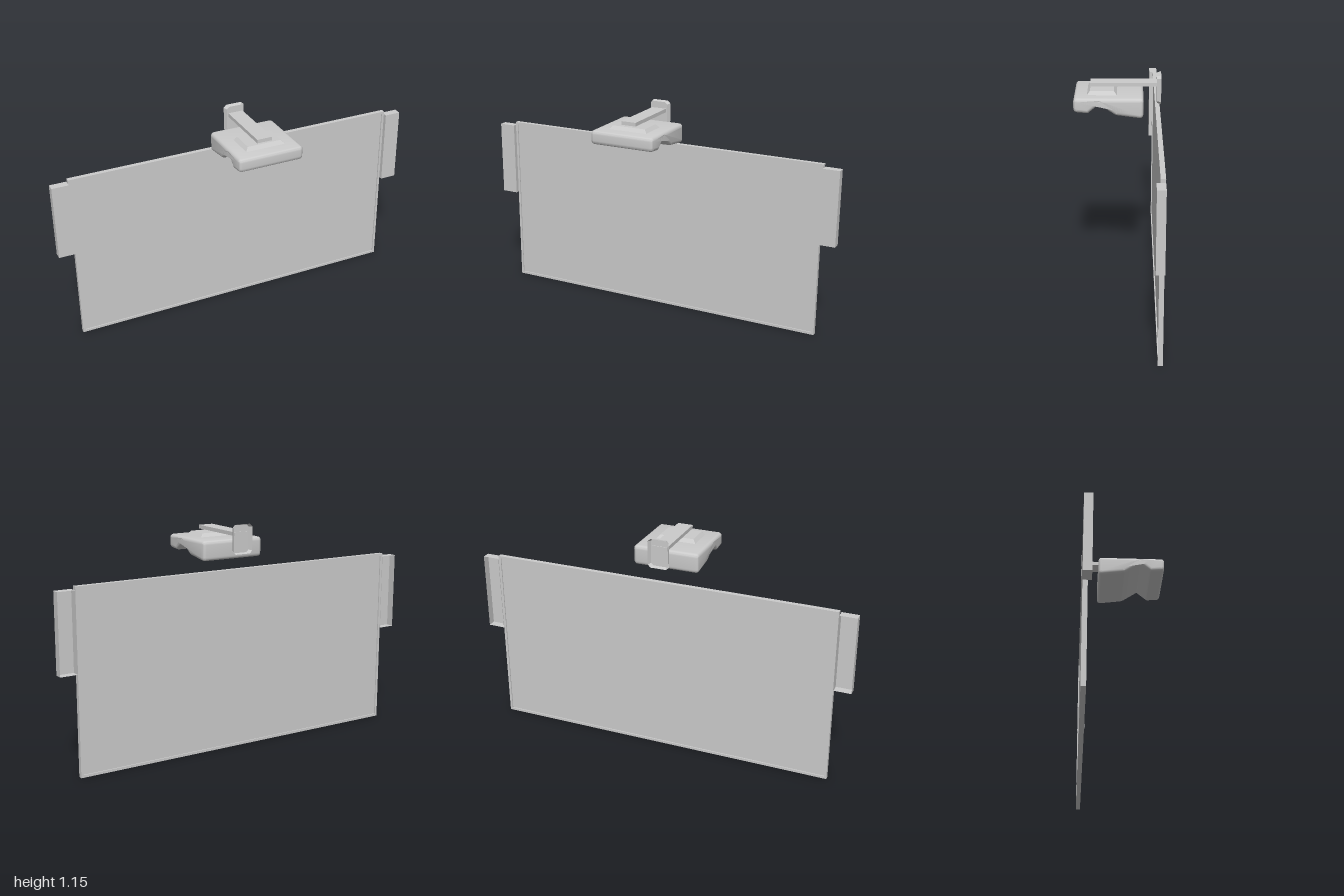
import * as THREE from 'three';
import { toCreasedNormals } from 'three/addons/utils/BufferGeometryUtils.js';

const solid = new THREE.MeshStandardMaterial({ color: 0xcccccc });
const thin = new THREE.MeshStandardMaterial({ color: 0xcccccc, side: THREE.DoubleSide });

function part(name, geometry, x, y, z, material = solid) {
  const mesh = new THREE.Mesh(geometry, material);
  mesh.name = name;
  mesh.position.set(x, y, z);
  return mesh;
}

// Outline of a rectangle with its corners cut off, counter-clockwise
function cutRect(hw, hh, c) {
  return [[hw, -hh + c], [hw, hh - c], [hw - c, hh], [-hw + c, hh],
    [-hw, hh - c], [-hw, -hh + c], [-hw + c, -hh], [hw - c, -hh]];
}

// Flat-sided loft along z from a back outline to a capped front outline, open at the back
function openLoft(back, front, depth) {
  const pos = [];
  back.forEach((a, i) => {
    const j = (i + 1) % back.length;
    const b = back[j], c = front[j], d = front[i];
    pos.push(...a, 0, ...b, 0, ...c, depth, ...a, 0, ...c, depth, ...d, depth);
    pos.push(0, 0, depth, ...d, depth, ...c, depth);
  });
  const g = new THREE.BufferGeometry();
  g.setAttribute('position', new THREE.Float32BufferAttribute(pos, 3));
  g.computeVertexNormals();
  return g;
}

// Closed shape whose corners [x, y, r] are rounded by r
function roundedShape(points) {
  const shape = new THREE.Shape();
  const n = points.length;
  points.forEach(([x, y, r], i) => {
    const p = new THREE.Vector2(x, y);
    const toward = (q) => new THREE.Vector2(q[0], q[1]).sub(p).setLength(r).add(p);
    const a = toward(points[(i + n - 1) % n]);
    const b = toward(points[(i + 1) % n]);
    if (i === 0) shape.moveTo(a.x, a.y);
    else shape.lineTo(a.x, a.y);
    if (r > 0) shape.quadraticCurveTo(x, y, b.x, b.y);
  });
  shape.closePath();
  return shape;
}

function rectPath(Type, hw, hh) {
  return new Type([[-hw, -hh], [hw, -hh], [hw, hh], [-hw, hh]].map((p) => new THREE.Vector2(...p)));
}

// Projection board: a slim frame around a slightly recessed panel
function createBoard() {
  const board = new THREE.Group();
  board.name = 'board';
  const outline = rectPath(THREE.Shape, 0.91, 0.464);
  outline.holes.push(rectPath(THREE.Path, 0.897, 0.451));
  const frame = new THREE.ExtrudeGeometry(outline, { depth: 0.024, bevelEnabled: false });
  board.add(part('boardFrame', frame, 0, 0.464, -0.219));
  board.add(part('boardPanel', new THREE.BoxGeometry(1.796, 0.904, 0.012), 0, 0.464, -0.207));
  return board;
}

// Speaker housing: a box without its back face
function createSpeaker(name, side) {
  const g = new THREE.BoxGeometry(0.088, 0.4, 0.042);
  g.setIndex(Array.from(g.index.array).slice(0, 30));
  return part(name, g, side * 0.956, 0.711, -0.198, thin);
}

// Projector: side profile with a notch below, swept across the width with soft edges
function createProjector() {
  const profile = roundedShape([
    [0.22, 1.065, 0.02], [-0.13, 1.065, 0.02], [-0.128, 0.961, 0.022], [0.01, 0.979, 0.012],
    [0.092, 1.034, 0], [0.147, 0.988, 0.005], [0.22, 0.994, 0.02],
  ]);
  const bevel = 0.018;
  const g = new THREE.ExtrudeGeometry(profile, {
    depth: 0.35 - 2 * bevel, bevelEnabled: true, bevelSize: bevel, bevelThickness: bevel,
    bevelOffset: -bevel, bevelSegments: 4, curveSegments: 5,
  });
  g.translate(0, 0, bevel - 0.175);
  g.rotateY(-Math.PI / 2);
  return part('projectorBody', toCreasedNormals(g, 0.6), 0, 0, 0);
}

// Wall arm: mounting plate on the projector, flat arm and hollow wall bracket
function createMount() {
  const mount = new THREE.Group();
  mount.name = 'mount';
  const plate = openLoft(cutRect(0.107, 0.076, 0.002), cutRect(0.09, 0.06, 0.002), 0.019);
  plate.rotateX(-Math.PI / 2);
  mount.add(part('mountPlate', plate, 0, 1.064, 0.079));
  mount.add(part('arm', new THREE.BoxGeometry(0.08, 0.019, 0.342), 0, 1.101, -0.031));
  const bracket = openLoft(cutRect(0.056, 0.075, 0.014), cutRect(0.047, 0.07, 0.012), 0.021);
  mount.add(part('wallBracket', bracket, 0, 1.075, -0.219, thin));
  return mount;
}

export function createModel() {
  const model = new THREE.Group();
  model.name = 'wallProjectorAndBoard';
  model.add(createBoard());
  model.add(createSpeaker('leftSpeaker', 1), createSpeaker('rightSpeaker', -1));
  model.add(createProjector(), createMount());
  return model;
}
